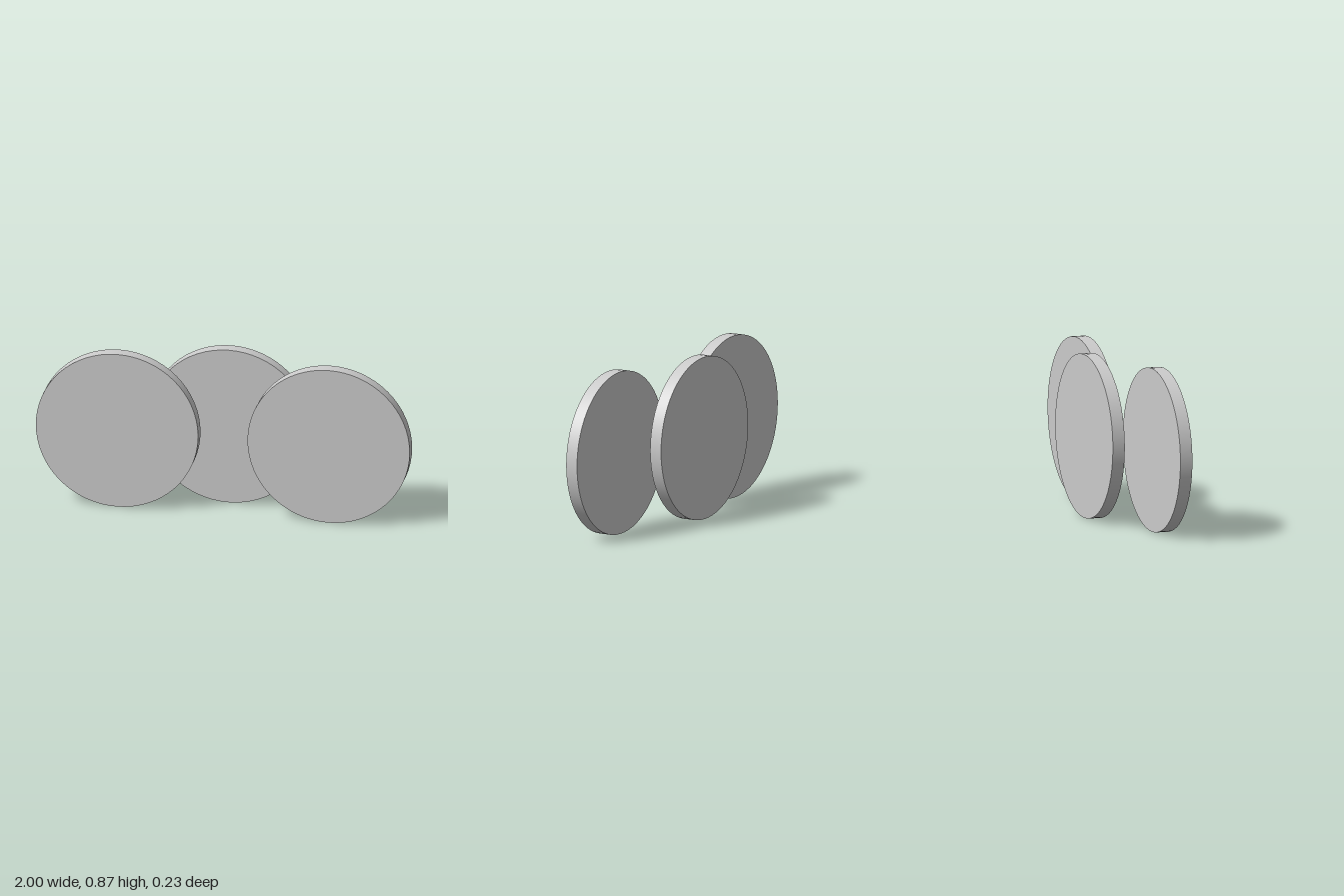
import * as THREE from 'three';

const RADIUS = 0.434;
const THICKNESS = 0.067;

export function createModel() {
  const model = new THREE.Group();
  model.name = 'overlappingDiscs';
  const material = new THREE.MeshStandardMaterial({ color: 0xcccccc });

  // One upright disc, its flat faces towards front and back
  const discGeometry = new THREE.CylinderGeometry(RADIUS, RADIUS, THICKNESS, 64);
  discGeometry.rotateX(Math.PI / 2);

  const addDisc = (name, x, z) => {
    const disc = new THREE.Mesh(discGeometry, material);
    disc.name = name;
    disc.position.set(x, RADIUS, z);
    model.add(disc);
  };

  // Two discs in front, one centred behind the gap
  addDisc('frontLeftDisc', 1 - RADIUS, 0.084);
  addDisc('frontRightDisc', RADIUS - 1, 0.084);
  addDisc('backDisc', 0, -0.084);

  return model;
}
